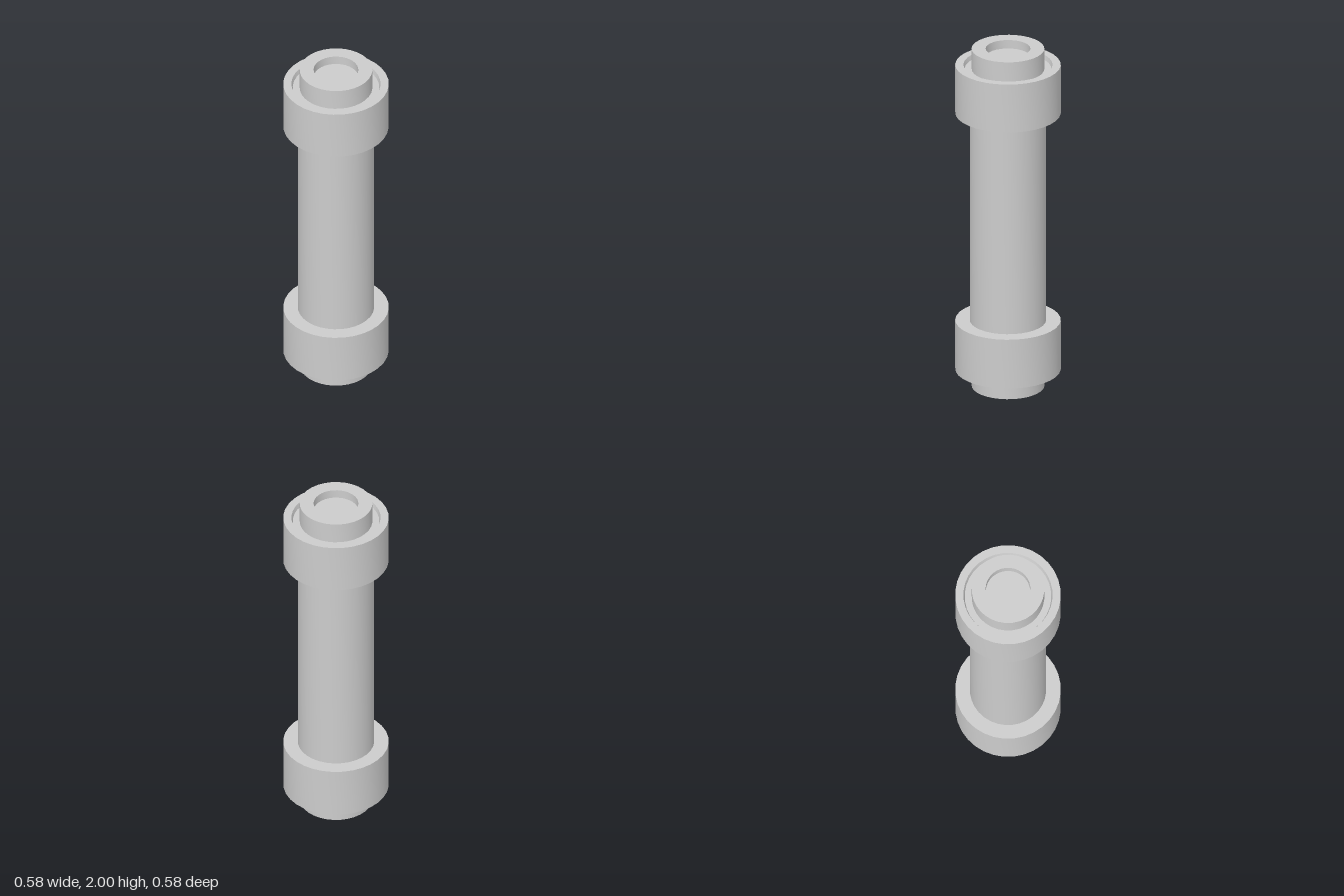
import * as THREE from 'three';
import { toCreasedNormals } from 'three/addons/utils/BufferGeometryUtils.js';

const SIDES = 32;

export function createModel() {
  const group = new THREE.Group();
  const material = new THREE.MeshStandardMaterial({ color: 0xcccccc });

  // Revolve a bottom-to-top [radius, height] profile, keeping corners sharp
  const turn = (name, profile) => {
    const points = profile.map(([r, y]) => new THREE.Vector2(r, y));
    const geometry = toCreasedNormals(new THREE.LatheGeometry(points, SIDES), 0.6);
    const mesh = new THREE.Mesh(geometry, material);
    mesh.name = name;
    group.add(mesh);
  };

  // Closed plug below the lower collar
  turn('bottomPlug', [[0, 0], [0.2, 0], [0.2, 0.1]]);

  // Plain lower collar
  turn('lowerCollar', [[0.2, 0.1], [0.29, 0.1], [0.29, 0.39], [0.21, 0.39]]);

  // Long shaft between the collars
  turn('shaft', [[0.21, 0.39], [0.21, 1.62]]);

  // Upper collar with a shallow groove around the spout
  turn('upperCollar', [
    [0.21, 1.62], [0.29, 1.62], [0.29, 1.905], [0.245, 1.905], [0.238, 1.88], [0.2, 1.88],
  ]);

  // Spout with a round recess in its top
  turn('topSpout', [[0.2, 1.88], [0.2, 2], [0.123, 2], [0.123, 1.95], [0, 1.95]]);

  return group;
}
